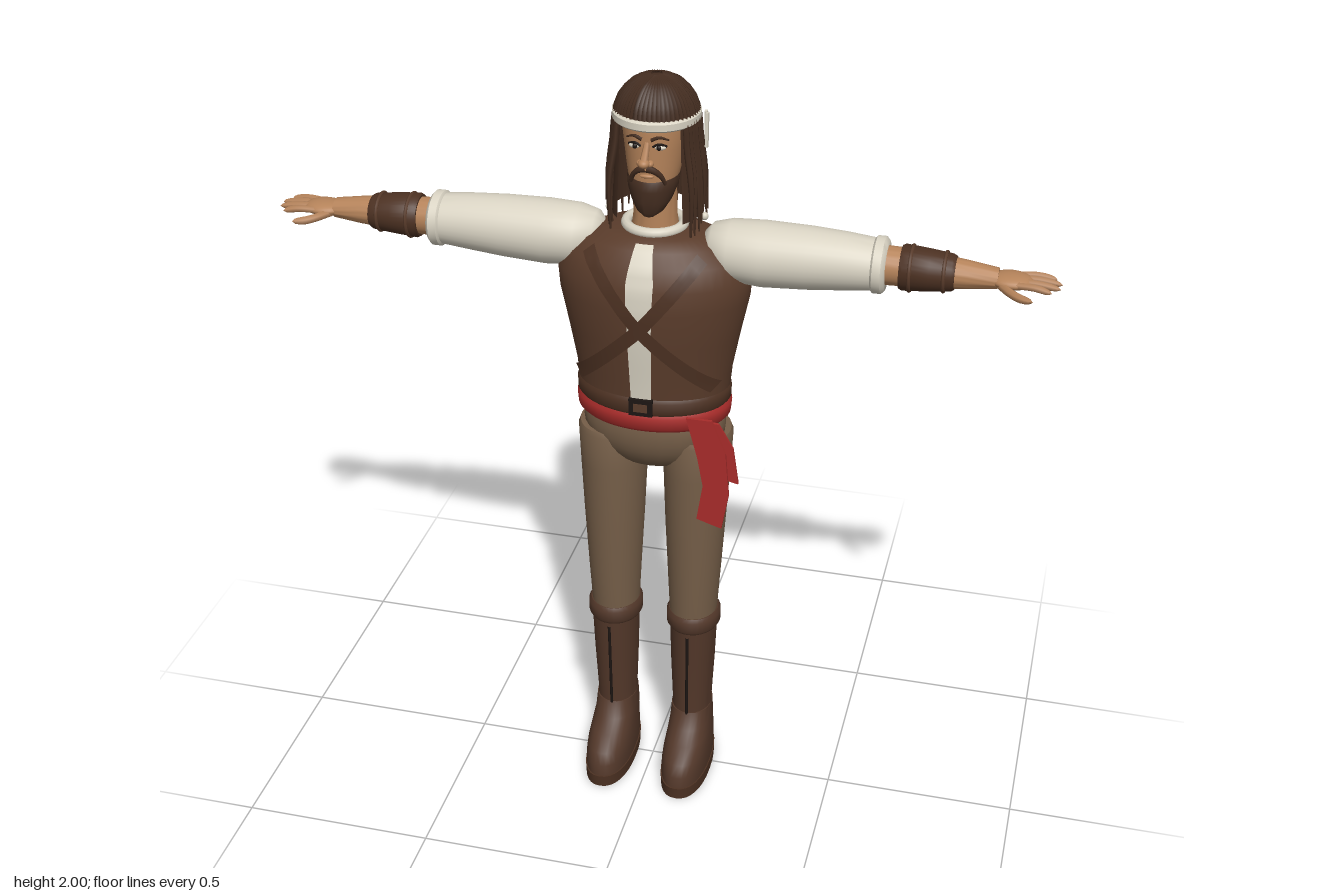
import * as THREE from 'three';
import { toCreasedNormals } from 'three/addons/utils/BufferGeometryUtils.js';

const mat = (name, color, side = THREE.FrontSide) => {
  const m = new THREE.MeshStandardMaterial({ color, side });
  m.name = name;
  return m;
};

// Closed loft along y; each row is [y, rx, rz, xCentre, zCentre]; power > 2 makes it boxier
function loft(rows, power = 2, seg = 32) {
  const pos = [], idx = [], n = rows.length;
  const sp = (v) => Math.sign(v) * Math.abs(v) ** (2 / power);
  rows.forEach(([y, rx, rz, xc = 0, zc = 0]) => {
    for (let j = 0; j < seg; j++) {
      const t = (j / seg) * Math.PI * 2;
      pos.push(xc + rx * sp(Math.cos(t)), y, zc + rz * sp(Math.sin(t)));
    }
  });
  for (const r of [rows[0], rows[n - 1]]) pos.push(r[3] || 0, r[0], r[4] || 0);
  for (let j = 0; j < seg; j++) {
    const k = (j + 1) % seg, top = (n - 1) * seg;
    for (let i = 0; i < n - 1; i++) {
      const a = i * seg + j, b = i * seg + k;
      idx.push(a, a + seg, b, b, a + seg, b + seg);
    }
    idx.push(n * seg, j, k, n * seg + 1, top + k, top + j);
  }
  const g = new THREE.BufferGeometry();
  g.setAttribute('position', new THREE.Float32BufferAttribute(pos, 3));
  g.setIndex(idx);
  return toCreasedNormals(g, 0.75);
}

// Loft along x; rows are [x, ry, rz, yCentre, zCentre]
const loftX = (rows) =>
  loft(rows.map(([x, ry, rz, y, z]) => [x, ry, rz, -y, z])).rotateZ(-Math.PI / 2);

const ball = (x, y, z, rx, ry, rz) =>
  new THREE.SphereGeometry(1, 24, 16).scale(rx, ry, rz).translate(x, y, z);

// Tube through points, tapering by a rule r(t)
function tube(points, r, taper = () => 1, seg = 12, sides = 6) {
  const path = new THREE.CatmullRomCurve3(points.map((p) => new THREE.Vector3(...p)));
  const g = new THREE.TubeGeometry(path, seg, r, sides), p = g.attributes.position;
  const v = new THREE.Vector3();
  for (let i = 0; i < p.count; i++) {
    const t = Math.floor(i / (sides + 1)) / seg, c = path.getPointAt(t);
    v.fromBufferAttribute(p, i).sub(c).multiplyScalar(taper(t)).add(c);
    p.setXYZ(i, v.x, v.y, v.z);
  }
  return g;
}
const roundEnd = (t) => Math.sqrt(Math.max(0.0001, 1 - Math.max(0, (t - 0.7) / 0.3) ** 2));

function mirrored(g) {
  const m = g.clone().scale(-1, 1, 1);
  const ids = m.index ? Array.from(m.index.array) : [...Array(m.attributes.position.count).keys()];
  m.setIndex(ids.reverse());
  return m;
}

// Torso profile, shared with the straps that lie on it
const TORSO = [
  [1.185, 0.192, 0.134, 0, -0.016], [1.25, 0.198, 0.141, 0, -0.017], [1.35, 0.217, 0.154, 0, -0.018],
  [1.45, 0.238, 0.162, 0, -0.018], [1.51, 0.243, 0.157, 0, -0.017], [1.56, 0.222, 0.14, 0, -0.016],
  [1.595, 0.18, 0.115, 0, -0.016], [1.615, 0.13, 0.09, 0, -0.018], [1.622, 0.07, 0.07, 0, -0.02],
];
function torsoZ(x, y, side, lift) {
  let i = 0;
  while (i < TORSO.length - 2 && TORSO[i + 1][0] < y) i++;
  const a = TORSO[i], b = TORSO[i + 1], t = Math.min(1, Math.max(0, (y - a[0]) / (b[0] - a[0])));
  const at = (k) => a[k] + (b[k] - a[k]) * t;
  return at(4) + side * (at(2) + lift) * Math.sqrt(Math.max(0, 1 - (x / (at(1) + lift)) ** 2));
}

// Band lying on the torso; points are [x, y, halfWidth], side is +1 front or -1 back
function band(points, side, lift) {
  const cols = 6, steps = 24, pos = [], idx = [];
  const path = new THREE.CatmullRomCurve3(points.map((p) => new THREE.Vector3(...p)), false, 'catmullrom', 0.1);
  for (let i = 0; i <= steps; i++) {
    const c = path.getPoint(i / steps), d = path.getTangent(i / steps);
    const len = Math.hypot(d.x, d.y);
    for (let j = 0; j <= cols; j++) {
      const w = c.z * ((2 * j) / cols - 1), x = c.x - (d.y / len) * w, y = c.y + (d.x / len) * w;
      pos.push(x, y, torsoZ(x, y, side, lift));
      if (i < steps && j < cols) {
        const a = i * (cols + 1) + j, b = a + cols + 1;
        idx.push(...(side > 0 ? [a, b, a + 1, a + 1, b, b + 1] : [a, a + 1, b, a + 1, b + 1, b]));
      }
    }
  }
  const g = new THREE.BufferGeometry();
  g.setAttribute('position', new THREE.Float32BufferAttribute(pos, 3));
  g.setIndex(idx);
  g.computeVertexNormals();
  return g;
}

export function createModel() {
  const root = new THREE.Group();
  const skin = mat('skin', 0xb5835a), hair = mat('hair', 0x442d20, THREE.DoubleSide);
  const linen = mat('linen', 0xd9d3c3), vest = mat('vest leather', 0x5a3c2b);
  const boot = mat('boot leather', 0x523729), cloth = mat('trouser cloth', 0x755e48);
  const red = mat('red sash', 0xa82c2a), strap = mat('strap leather', 0x4c3122, THREE.DoubleSide);
  const dark = mat('dark', 0x1d1613), shirt = mat('shirt linen', 0xd9d3c3, THREE.DoubleSide);

  const add = (name, g, m) => {
    const mesh = new THREE.Mesh(g, m);
    mesh.name = name;
    root.add(mesh);
  };
  const pair = (name, g, m) => {
    add(name + 'Left', g, m);
    add(name + 'Right', mirrored(g), m);
  };

  // Torso, shirt front and crossed straps
  add('vest', loft(TORSO, 2, 48), vest);
  add('shirtFront', band([[0, 1.2, 0.026], [0, 1.4, 0.03], [0, 1.53, 0.034], [0, 1.61, 0.022]], 1, 0.004), shirt);
  for (const side of [1, -1])
    pair(side > 0 ? 'frontStrap' : 'backStrap',
      band([[-0.14, 1.585, 0.017], [0, 1.41, 0.017], [0.175, 1.235, 0.017]], side, 0.009), strap);
  add('collar', new THREE.TorusGeometry(0.07, 0.013, 10, 32).rotateX(Math.PI / 2).translate(0, 1.625, -0.02), linen);

  // Waist
  add('belt', loft([[1.16, 0.19, 0.135, 0, -0.015], [1.17, 0.197, 0.141, 0, -0.015],
    [1.198, 0.197, 0.141, 0, -0.015], [1.207, 0.19, 0.135, 0, -0.015]], 2, 48), strap);
  add('buckle', new THREE.BoxGeometry(0.06, 0.045, 0.012).translate(0, 1.188, 0.126), dark);
  add('bucklePlate', new THREE.BoxGeometry(0.036, 0.022, 0.008).translate(0, 1.188, 0.13), vest);
  add('sash', loft([[1.112, 0.185, 0.127, 0, -0.015], [1.124, 0.196, 0.138, 0, -0.015],
    [1.155, 0.199, 0.141, 0, -0.015], [1.168, 0.19, 0.133, 0, -0.015]], 2, 48), red);
  const tails = [
    [[0.11, 1.16], [0.14, 1.05], [0.155, 0.97], [0.14, 0.87], [0.205, 0.85], [0.222, 0.95], [0.212, 1.07], [0.175, 1.16]],
    [[0.13, 1.15], [0.185, 1.07], [0.195, 0.99], [0.243, 0.98], [0.228, 1.08], [0.19, 1.145]],
  ];
  tails.forEach((pts, i) => {
    const shape = new THREE.Shape(pts.map((p) => new THREE.Vector2(...p)));
    add('sashTail' + (i + 1), new THREE.ExtrudeGeometry(shape, { depth: 0.008, bevelEnabled: false })
      .translate(0, 0, 0.098 - i * 0.014), red);
  });

  // Hips, legs and boots
  add('hips', ball(0, 1.085, -0.02, 0.185, 0.135, 0.118), cloth);
  pair('trouserLeg', loft([[0.49, 0.062, 0.072, 0.107, -0.017], [0.62, 0.069, 0.081, 0.108, -0.018],
    [0.8, 0.079, 0.092, 0.109, -0.022], [0.95, 0.086, 0.101, 0.11, -0.027], [1.05, 0.089, 0.105, 0.112, -0.03],
    [1.063, 0.084, 0.1, 0.112, -0.03]]), cloth);
  pair('bootCuff', loft([[0.465, 0.066, 0.076, 0.108, -0.018], [0.475, 0.072, 0.083, 0.108, -0.018],
    [0.505, 0.072, 0.083, 0.108, -0.018], [0.515, 0.066, 0.076, 0.108, -0.018]]), boot);
  pair('bootShaft', loft([[0.16, 0.054, 0.07, 0.106, -0.022], [0.22, 0.053, 0.069, 0.106, -0.022],
    [0.35, 0.059, 0.073, 0.107, -0.02], [0.48, 0.063, 0.077, 0.108, -0.018]]), boot);
  pair('bootFoot', loft([[0.03, 0.062, 0.148, 0.107, 0.03], [0.065, 0.063, 0.146, 0.107, 0.029],
    [0.095, 0.061, 0.136, 0.107, 0.022], [0.125, 0.058, 0.113, 0.107, 0.002], [0.15, 0.056, 0.088, 0.106, -0.016],
    [0.195, 0.054, 0.07, 0.106, -0.022]], 2.3), boot);
  pair('bootSole', loft([[0, 0.064, 0.15, 0.107, 0.03], [0.034, 0.065, 0.152, 0.107, 0.03]], 2.3), strap);
  pair('bootSeam', tube([[0.108, 0.455, 0.058], [0.107, 0.33, 0.053], [0.106, 0.19, 0.047]], 0.004), dark);

  // Arms
  pair('sleeve', loftX([[0.125, 0.03, 0.03, 1.585, -0.017], [0.145, 0.058, 0.058, 1.58, -0.017],
    [0.19, 0.076, 0.078, 1.573, -0.018], [0.27, 0.081, 0.082, 1.571, -0.019], [0.38, 0.077, 0.078, 1.573, -0.019],
    [0.47, 0.07, 0.072, 1.575, -0.018], [0.55, 0.062, 0.064, 1.575, -0.018]]), linen);
  pair('sleeveCuff', loftX([[0.532, 0.06, 0.062, 1.575, -0.018], [0.54, 0.069, 0.071, 1.575, -0.018],
    [0.56, 0.069, 0.071, 1.575, -0.018], [0.568, 0.06, 0.062, 1.575, -0.018]]), linen);
  pair('forearm', loftX([[0.55, 0.048, 0.048, 1.575, -0.02], [0.65, 0.045, 0.045, 1.574, -0.022],
    [0.76, 0.034, 0.036, 1.571, -0.024], [0.83, 0.024, 0.03, 1.569, -0.026]]), skin);
  pair('bracer', loftX([[0.6, 0.052, 0.052, 1.574, -0.021], [0.608, 0.056, 0.056, 1.574, -0.021],
    [0.67, 0.051, 0.051, 1.573, -0.022], [0.722, 0.045, 0.046, 1.572, -0.023], [0.73, 0.04, 0.042, 1.572, -0.023]]), strap);
  for (const x of [0.625, 0.705])
    pair('bracerTie', new THREE.TorusGeometry(x < 0.65 ? 0.054 : 0.047, 0.005, 6, 28)
      .rotateY(Math.PI / 2).translate(x, 1.573, -0.022), vest);
  pair('palm', ball(0.86, 1.568, -0.026, 0.053, 0.018, 0.042), skin);
  [0.965, 0.98, 0.977, 0.958].forEach((tip, i) => {
    const z = -0.056 + i * 0.02, out = (i - 1.5) * 0.004;
    pair('finger' + (i + 1), tube([[0.87, 1.569, z], [0.92, 1.57, z + out], [tip, 1.562, z + out * 1.5]], 0.009, roundEnd), skin);
  });
  pair('thumb', tube([[0.835, 1.564, -0.005], [0.865, 1.56, 0.03], [0.888, 1.557, 0.046], [0.918, 1.555, 0.055]], 0.011, roundEnd), skin);

  // Neck and head
  add('neck', loft([[1.6, 0.06, 0.06, 0, -0.025], [1.65, 0.053, 0.055, 0, -0.022], [1.76, 0.052, 0.055, 0, -0.02]]), skin);
  add('head', loft([[1.69, 0.024, 0.022, 0, 0.03], [1.705, 0.044, 0.045, 0, 0.012], [1.74, 0.057, 0.066, 0, -0.005],
    [1.79, 0.067, 0.08, 0, -0.017], [1.835, 0.074, 0.088, 0, -0.025], [1.88, 0.08, 0.092, 0, -0.028],
    [1.93, 0.078, 0.088, 0, -0.03], [1.965, 0.045, 0.05, 0, -0.032]]), skin);
  add('nose', tube([[0, 1.862, 0.056], [0, 1.84, 0.073], [0, 1.82, 0.092]], 0.011, (t) => 0.6 + 0.4 * t), skin);
  add('noseTip', ball(0, 1.819, 0.09, 0.014, 0.011, 0.015), skin);
  pair('nostril', ball(0.012, 1.815, 0.077, 0.009, 0.008, 0.012), skin);
  pair('eyeWhite', ball(0.03, 1.849, 0.054, 0.015, 0.007, 0.009), linen);
  pair('iris', ball(0.029, 1.849, 0.06, 0.006, 0.0065, 0.005), dark);
  pair('eyeLine', tube([[0.014, 1.851, 0.061], [0.03, 1.858, 0.06], [0.046, 1.851, 0.051]], 0.003), dark);
  pair('eyebrow', tube([[0.011, 1.868, 0.063], [0.03, 1.875, 0.061], [0.051, 1.867, 0.05]], 0.005,
    (t) => 1 - 0.6 * t), hair);
  pair('moustache', tube([[0.001, 1.797, 0.067], [0.018, 1.793, 0.066], [0.034, 1.777, 0.058], [0.042, 1.755, 0.048]], 0.009,
    (t) => 1 - 0.5 * t), hair);
  add('lip', ball(0, 1.776, 0.062, 0.017, 0.005, 0.006), skin);
  add('beard', loft([[1.668, 0.014, 0.014, 0, 0.04], [1.68, 0.033, 0.032, 0, 0.028], [1.705, 0.049, 0.052, 0, 0.012],
    [1.735, 0.06, 0.067, 0, 0], [1.755, 0.063, 0.071, 0, -0.006], [1.767, 0.059, 0.066, 0, -0.009]]), hair);

  // Hair: cap, under-layer and hanging locks
  const hz = -0.036;
  add('hairCap', new THREE.SphereGeometry(1, 32, 12, 0, Math.PI * 2, 0, Math.PI / 2)
    .scale(0.096, 0.092, 0.1).translate(0, 1.9, hz), hair);
  add('hairUnderLayer', new THREE.CylinderGeometry(0.096, 0.108, 0.25, 32, 4, true, 0.85, Math.PI * 2 - 1.7)
    .translate(0, 1.775, hz), hair);
  let seed = 7;
  const rnd = () => (seed = (seed * 16807) % 2147483647) / 2147483647;
  const count = 54;
  for (let i = 0; i < count; i++) {
    const a = ((i + 0.5) / count) * Math.PI * 2, front = Math.cos(a) > 0.64;
    const at = (r, y) => [Math.sin(a) * r, y, hz + Math.cos(a) * r];
    const pts = [at(0.012, 1.988), at(0.052, 1.975), at(0.085, 1.94), at(0.098, 1.9)];
    if (!front) {
      const end = 1.6 + rnd() * 0.07, flare = 0.108 + rnd() * 0.014;
      pts.push(at(0.104, 1.84), at(flare, 1.74), at(flare + (rnd() - 0.4) * 0.012, end));
    }
    add('hairLock', tube(pts, 0.0085, front ? undefined : (t) => 1 - 0.75 * Math.max(0, t - 0.6) / 0.4, 16, 5), hair);
    if (!front && i % 9 === 4) add('hairBead', ball(...at(0.119, 1.645), 0.009, 0.01, 0.009), linen);
  }

  // Headband with side ties
  add('headband', loft([[1.887, 0.1, 0.103, 0, hz], [1.892, 0.106, 0.109, 0, hz],
    [1.908, 0.106, 0.109, 0, hz], [1.913, 0.1, 0.103, 0, hz]], 2, 40), linen);
  for (const z of [-0.07, -0.09])
    pair('headbandTie', new THREE.BoxGeometry(0.007, 0.085, 0.011).rotateX(z < -0.08 ? 0.12 : -0.05)
      .translate(z < -0.08 ? 0.108 : 0.114, 1.852, z), linen);
  return root;
}
